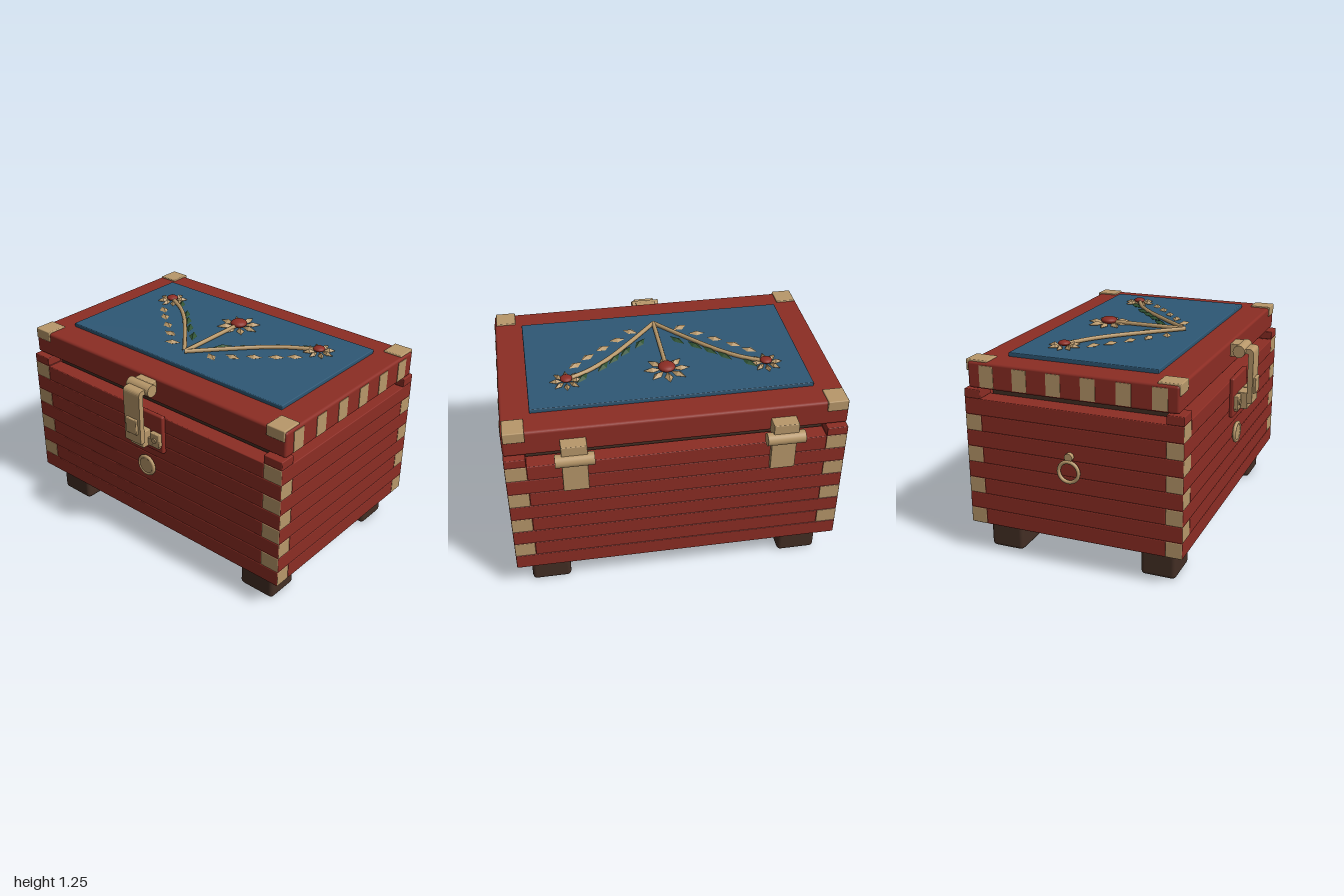
import * as THREE from 'three';
import { RoundedBoxGeometry } from 'three/addons/geometries/RoundedBoxGeometry.js';

const colour = (name, hex, flat = false) => {
  const m = new THREE.MeshStandardMaterial({ color: hex });
  m.name = name;
  m.flatShading = flat;
  return m;
};
const red = colour('red paint', 0x8c2d24);
const tan = colour('pale wood and brass', 0xb8986a);
const dark = colour('dark wood', 0x432e24);
const blue = colour('blue panel', 0x2e5875);
const green = colour('leaf green', 0x2f5233);

export function createModel() {
  const model = new THREE.Group();
  model.name = 'chest';

  const add = (name, geometry, material, parent = model) => {
    const mesh = new THREE.Mesh(geometry, material);
    mesh.name = name;
    parent.add(mesh);
    return mesh;
  };
  // Box given by its two corners, with softened edges when r > 0
  const box = (name, [x0, y0, z0], [x1, y1, z1], material, r = 0, parent = model) => {
    const s = [x1 - x0, y1 - y0, z1 - z0];
    const g = r ? new RoundedBoxGeometry(...s, 2, r) : new THREE.BoxGeometry(...s);
    const mesh = add(name, g, material, parent);
    mesh.position.set((x0 + x1) / 2, (y0 + y1) / 2, (z0 + z1) / 2);
    return mesh;
  };
  // Cylinder lying along x or z, or standing along y
  const rod = (name, r, length, axis, [x, y, z], material, parent = model) => {
    const g = new THREE.CylinderGeometry(r, r, length, 28);
    if (axis === 'x') g.rotateZ(Math.PI / 2);
    if (axis === 'z') g.rotateX(Math.PI / 2);
    const mesh = add(name, g, material, parent);
    mesh.position.set(x, y, z);
    return mesh;
  };

  // Body limits and wall thicknesses
  const X0 = -0.966, X1 = 0.996, Z0 = -0.68, Z1 = 0.63;
  const tx = 0.122, tz = 0.1, base = 0.19, row = 0.0966;
  const endsX = [tan, tan, red, red, red, red];
  const endsZ = [red, red, red, red, tan, tan];

  // Finger-jointed boards: the long boards and the side boards take turns at the corners
  const body = new THREE.Group();
  body.name = 'body';
  model.add(body);
  for (let i = 0; i < 8; i++) {
    const y0 = base + i * row, y1 = y0 + row;
    const long = i % 2 === 0;
    const ix = long ? 0 : tx, iz = long ? tz : 0;
    for (const [a, b] of [[Z0, Z0 + tz], [Z1 - tz, Z1]])
      box('longBoard', [X0 + ix, y0, a], [X1 - ix, y1, b], long ? endsX : red, 0.005, body);
    for (const [a, b] of [[X0, X0 + tx], [X1 - tx, X1]])
      box('sideBoard', [a, y0, Z0 + iz], [b, y1, Z1 - iz], long ? red : endsZ, 0.005, body);
  }
  for (const x of [X0, X1 - tx])
    for (const z of [Z0, Z1 - tz])
      box('cornerBlock', [x, base + 8 * row, z], [x + tx, 1.016, z + tz], red, 0.005, body);
  box('innerLining', [-0.848, 0.21, -0.565], [0.878, 1.01, 0.518], dark);

  // Bottom plate and feet
  box('bottomPlate', [-0.885, 0.158, -0.58], [0.915, 0.192, 0.535], tan, 0.01);
  for (const x of [-0.877, 0.673])
    for (const z of [-0.61, 0.35])
      box('foot', [x, 0, z], [x + 0.237, 0.163, z + 0.21], dark, 0.025);

  // Lid with end inlays, corner caps and a blue panel
  const lid = new THREE.Group();
  lid.name = 'lid';
  model.add(lid);
  box('lidBoard', [X0, 1.024, -0.65], [X1, 1.18, 0.602], red, 0.016, lid);
  for (let i = 0; i < 6; i++) {
    const z = 0.495 - i * 0.2055;
    for (const x of [X0 - 0.003, X1 - 0.003])
      box('endInlay', [x, 1.036, z - 0.043], [x + 0.006, 1.162, z + 0.043], tan, 0, lid);
  }
  for (const x of [-0.957, 0.866])
    for (const z of [-0.662, 0.476])
      box('cornerCap', [x, 1.122, z], [x + 0.12, 1.189, z + 0.132], tan, 0.006, lid);
  box('bluePanel', [-0.803, 1.17, -0.478], [0.829, 1.203, 0.425], blue, 0.005, lid);

  // Raised flower ornament on the panel
  const cx = 0.012, top = 1.203;
  const ornament = new THREE.Group();
  ornament.name = 'flowerOrnament';
  model.add(ornament);
  // Pointed faceted leaf, turned about y
  const leaf = (name, x, z, length, width, height, angle, material) => {
    const g = new THREE.OctahedronGeometry(1).scale(length / 2, height, width / 2).rotateY(angle);
    add(name, g, material, ornament).position.set(x, top + 0.004, z);
  };
  const flower = (x, z, R, r) => {
    for (let i = 0; i < 8; i++) {
      const a = i * Math.PI / 4, mid = (R + r * 0.6) / 2;
      leaf('petal', x + Math.cos(a) * mid, z - Math.sin(a) * mid, R - r * 0.6, R * 0.36, 0.02, a, tan);
    }
    const g = new THREE.SphereGeometry(r, 20, 12).scale(1, 0.45, 1);
    add('flowerHeart', g, red, ornament).position.set(x, top + 0.022, z);
  };
  const stem = (points) => {
    const curve = new THREE.CatmullRomCurve3(points.map(([x, z]) => new THREE.Vector3(x, top + 0.014, z)));
    add('stem', new THREE.TubeGeometry(curve, 32, 0.013, 8), tan, ornament);
  };
  stem([[cx, 0.295], [cx, 0.04], [cx, -0.21]]);
  flower(cx, -0.21, 0.138, 0.052);
  for (const s of [-1, 1]) {
    stem([[cx, 0.295], [cx + s * 0.177, 0.095], [cx + s * 0.33, -0.065], [cx + s * 0.455, -0.165], [cx + s * 0.59, -0.237]]);
    flower(cx + s * 0.59, -0.237, 0.098, 0.036);
    // Pale leaves below the stem: [offset, z, tilt]
    for (const [d, z, t] of [[0.525, -0.085, 0.6], [0.445, -0.01, 0.6], [0.345, 0.07, 0.5], [0.248, 0.15, 0.1], [0.155, 0.232, -0.5]])
      leaf('paleLeaf', cx + s * d, z, 0.1, 0.055, 0.016, s * t, tan);
    // Green leaves above the stem
    for (const [d, z] of [[0.495, -0.22], [0.365, -0.125], [0.29, -0.055], [0.212, 0.015], [0.115, 0.09]])
      leaf('greenLeaf', cx + s * d, z, 0.125, 0.05, 0.016, s * 0.95, green);
  }

  // Hinges on the back
  for (const x of [-0.585, 0.607]) {
    const hinge = new THREE.Group();
    hinge.name = 'hinge';
    model.add(hinge);
    rod('hingeBarrel', 0.038, 0.22, 'x', [x, 1.016, -0.72], tan, hinge);
    box('upperLeaf', [x - 0.073, 1.016, -0.73], [x + 0.073, 1.11, -0.64], tan, 0.005, hinge);
    box('lowerLeaf', [x - 0.073, 0.782, -0.705], [x + 0.073, 1.016, -0.675], tan, 0.004, hinge);
  }

  // Clasp on the front
  const clasp = new THREE.Group();
  clasp.name = 'clasp';
  model.add(clasp);
  box('claspBacking', [-0.132, 0.732, 0.625], [0.162, 0.978, 0.655], red, 0.01, clasp);
  box('lockBar', [-0.115, 0.77, 0.65], [0.148, 0.822, 0.676], tan, 0.004, clasp);
  for (const x of [-0.122, 0.084]) {
    box('lockEar', [x, 0.785, 0.65], [x + 0.07, 0.866, 0.68], tan, 0.005, clasp);
    rod('lockRivet', 0.016, 0.012, 'z', [x + 0.035, 0.822, 0.682], tan, clasp);
  }
  box('lockStaple', [-0.04, 0.765, 0.65], [0.065, 0.87, 0.715], tan, 0.005, clasp);
  box('claspLeaf', [-0.05, 1.09, 0.59], [0.075, 1.168, 0.65], tan, 0.005, clasp);
  rod('claspBarrel', 0.037, 0.172, 'x', [cx, 1.13, 0.66], tan, clasp);
  // Bent strap, drawn in side profile and extruded across
  const profile = new THREE.Shape();
  profile.moveTo(0.66, 1.145);
  profile.lineTo(0.715, 1.145);
  profile.quadraticCurveTo(0.745, 1.145, 0.745, 1.115);
  profile.lineTo(0.745, 0.806);
  profile.lineTo(0.713, 0.806);
  profile.lineTo(0.713, 1.115);
  profile.lineTo(0.66, 1.115);
  const strap = new THREE.ExtrudeGeometry(profile, { depth: 0.125, bevelEnabled: false, curveSegments: 6 });
  strap.rotateY(-Math.PI / 2).scale(1, 1, 1);
  add('claspStrap', strap, tan, clasp).position.x = 0.075;
  box('strapButton', [-0.029, 0.866, 0.74], [0.056, 0.964, 0.76], tan, 0.005, clasp);

  // Round medallion below the clasp
  rod('medallion', 0.056, 0.03, 'z', [cx, 0.593, 0.635], tan);
  add('medallionRim', new THREE.TorusGeometry(0.057, 0.011, 10, 36), tan).position.set(cx, 0.593, 0.643);

  // Ring pull on the right side
  const pull = new THREE.Group();
  pull.name = 'ringPull';
  model.add(pull);
  rod('ringMount', 0.024, 0.034, 'x', [-0.975, 0.7, -0.03], tan, pull);
  const ring = new THREE.TorusGeometry(0.06, 0.011, 10, 36).rotateY(Math.PI / 2);
  add('ring', ring, tan, pull).position.set(-0.989, 0.615, -0.03);

  return model;
}
